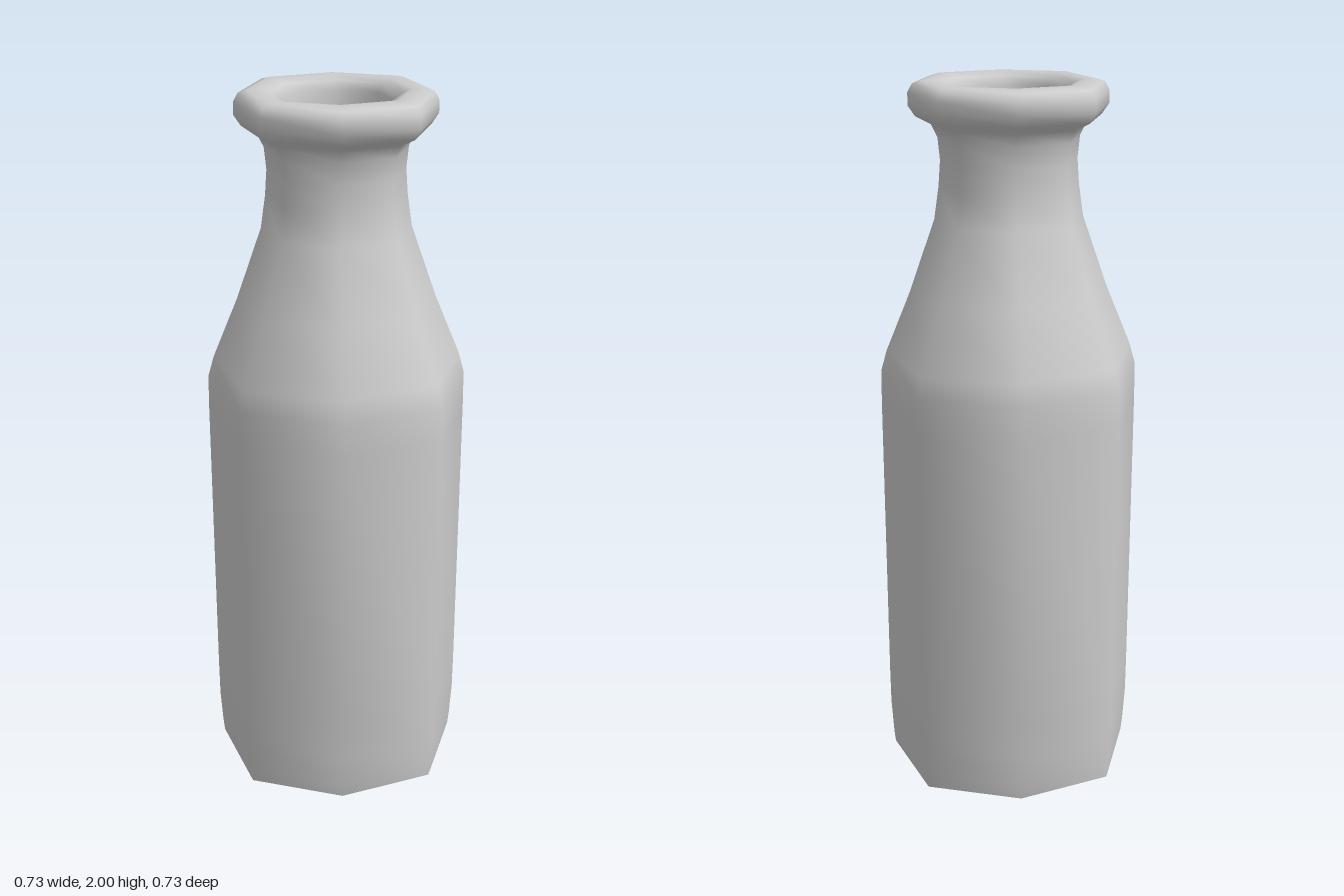
import * as THREE from 'three';
import { mergeVertices } from 'three/addons/utils/BufferGeometryUtils.js';

const SIDES = 8;
const DIAGONAL = 1.06; // diagonal corners sit slightly further out, giving a squarer octagon

// Turns a [radius, y] profile into a smooth-shaded eight-sided shell
function turned(name, profile, material) {
  const lathe = new THREE.LatheGeometry(profile.map(([r, y]) => new THREE.Vector2(r, y)), SIDES);
  const pos = lathe.attributes.position;
  for (let i = 0; i < pos.count; i++) {
    const column = Math.floor(i / profile.length);
    const k = column % 2 ? DIAGONAL : 1;
    pos.setXYZ(i, pos.getX(i) * k, pos.getY(i), pos.getZ(i) * k);
  }
  lathe.deleteAttribute('uv');
  lathe.deleteAttribute('normal');
  const geometry = mergeVertices(lathe, 1e-4);
  geometry.computeVertexNormals();
  const mesh = new THREE.Mesh(geometry, material);
  mesh.name = name;
  return mesh;
}

export function createModel() {
  const group = new THREE.Group();
  group.name = 'bottle';
  const material = new THREE.MeshStandardMaterial({ color: 0xcccccc });

  // Body, shoulder, neck and rolled lip, continuing down into the throat
  const outer = [
    [0.352, 0], [0.356, 0.04], [0.362, 0.14], [0.363, 0.25], [0.363, 1.1], [0.362, 1.2],
    [0.345, 1.26], [0.275, 1.43], [0.205, 1.63], [0.192, 1.72], [0.187, 1.79], [0.193, 1.85],
    [0.21, 1.885], [0.252, 1.907], [0.271, 1.935], [0.271, 1.97], [0.258, 1.993],
    [0.235, 2], [0.2, 2], [0.175, 1.99], [0.16, 1.965], [0.158, 1.92],
  ];
  group.add(turned('bottleWall', outer, material));

  // Hollow inside with a rounded floor
  const inner = [
    [0.158, 1.92], [0.157, 1.79], [0.175, 1.63], [0.245, 1.43], [0.315, 1.26],
    [0.332, 1.19], [0.333, 0.25], [0.325, 0.12], [0.27, 0.06], [0, 0.05],
  ];
  group.add(turned('innerWall', inner, material));

  // Standing ring and slightly recessed underside
  group.add(turned('standingRing', [[0.335, 0], [0.352, 0]], material));
  group.add(turned('recessWall', [[0.325, 0.015], [0.335, 0]], material));
  group.add(turned('underside', [[0, 0.015], [0.325, 0.015]], material));

  return group;
}
